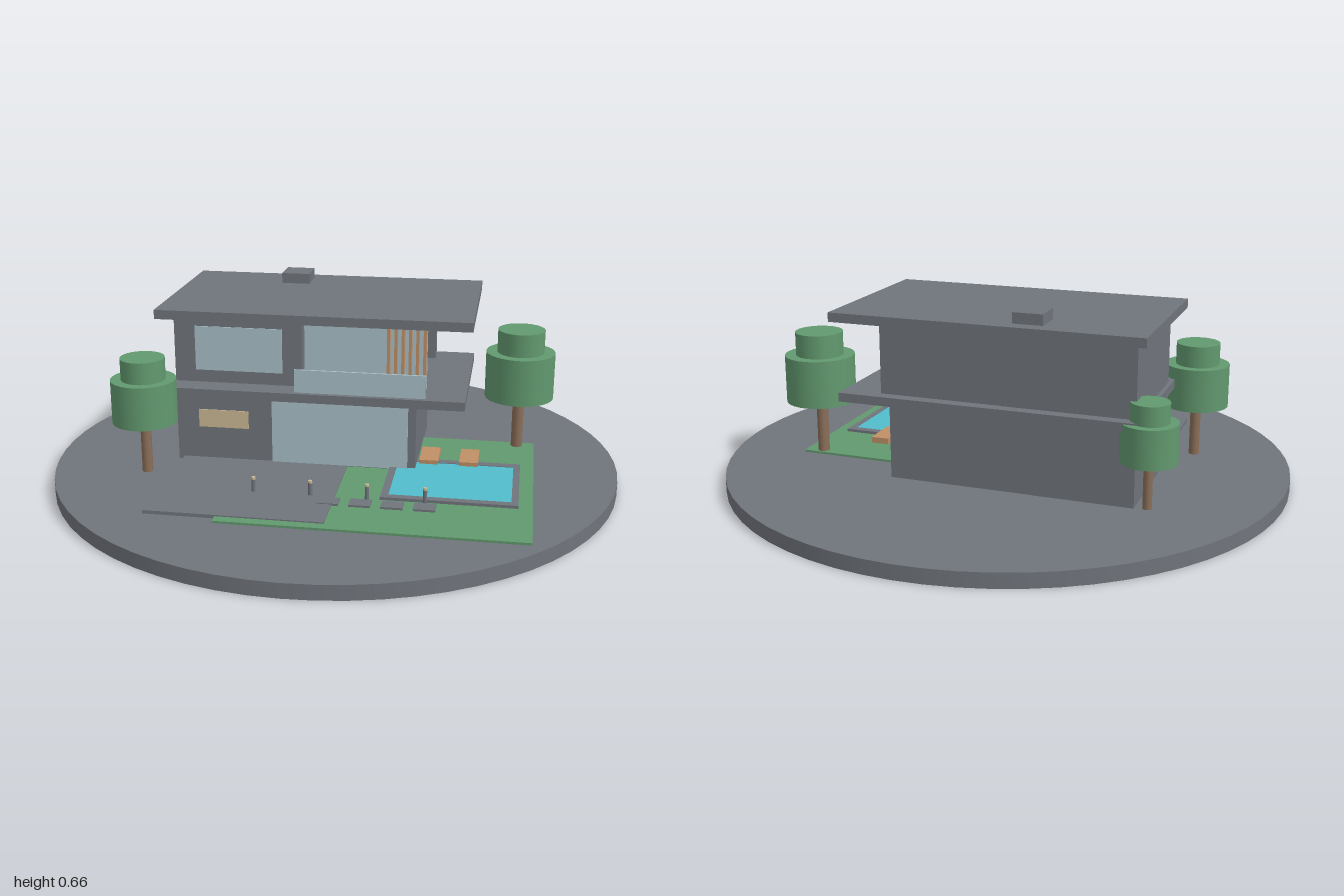
import * as THREE from 'three';

const mat = (name, color) => {
  const m = new THREE.MeshStandardMaterial({ color });
  m.name = name;
  return m;
};

export function createModel() {
  const concrete = mat('concrete', 0x70747b);
  const leaf = mat('leaf green', 0x62996f);
  const bark = mat('bark', 0x8a6e58);
  const wood = mat('warm wood', 0xbf8f66);
  const glass = mat('glass', 0xa9c0c9);
  const glow = mat('lit window', 0xcab994);
  const water = mat('pool water', 0x52bccb);

  const model = new THREE.Group();
  model.name = 'villa';

  const group = (name) => {
    const g = new THREE.Group();
    g.name = name;
    model.add(g);
    return g;
  };
  // Box given by its limits on each axis
  const box = (parent, name, m, [x0, x1], [y0, y1], [z0, z1]) => {
    const mesh = new THREE.Mesh(new THREE.BoxGeometry(x1 - x0, y1 - y0, z1 - z0), m);
    mesh.position.set((x0 + x1) / 2, (y0 + y1) / 2, (z0 + z1) / 2);
    mesh.name = name;
    parent.add(mesh);
    return mesh;
  };
  const cylinder = (parent, name, m, r, x, z, [y0, y1], sides = 32) => {
    const mesh = new THREE.Mesh(new THREE.CylinderGeometry(r, r, y1 - y0, sides), m);
    mesh.position.set(x, (y0 + y1) / 2, z);
    mesh.name = name;
    parent.add(mesh);
    return mesh;
  };

  // Round base
  cylinder(model, 'base', concrete, 1, 0, 0, [0, 0.05], 64);

  // Garden surfaces
  const garden = group('garden');
  box(garden, 'lawn', leaf, [-0.295, 0.71], [0.045, 0.058], [-0.22, 0.64]);
  box(garden, 'patio', concrete, [-0.535, 0.06], [0.045, 0.062], [0.1, 0.605]);
  for (let i = 0; i < 4; i++) {
    const x = 0.045 + i * 0.106;
    box(garden, 'steppingStone', concrete, [x - 0.036, x + 0.036], [0.05, 0.065], [0.41, 0.463]);
  }

  // Pool: four rim strips around the water
  const pool = group('pool');
  const rimY = [0.05, 0.068];
  box(pool, 'poolRimBack', concrete, [0.21, 0.663], rimY, [0.025, 0.055]);
  box(pool, 'poolRimFront', concrete, [0.21, 0.663], rimY, [0.363, 0.39]);
  box(pool, 'poolRimRight', concrete, [0.21, 0.235], rimY, [0.055, 0.363]);
  box(pool, 'poolRimLeft', concrete, [0.64, 0.663], rimY, [0.055, 0.363]);
  box(pool, 'poolWater', water, [0.235, 0.64], [0.05, 0.066], [0.055, 0.363]);

  // Sun loungers
  for (const x of [0.343, 0.483]) {
    box(garden, 'lounger', wood, [x - 0.033, x + 0.033], [0.058, 0.08], [-0.065, 0.068]);
  }

  // Path lights
  for (const x of [-0.215, -0.022, 0.168, 0.36]) {
    cylinder(garden, 'lightPost', concrete, 0.007, x, 0.395, [0.05, 0.105], 12);
    cylinder(garden, 'lightCap', glow, 0.007, x, 0.395, [0.105, 0.113], 12);
  }

  // Ground floor
  const ground = group('groundFloor');
  const depth = [-0.355, 0.118];
  box(ground, 'groundWing', concrete, [-0.555, -0.21], [0.05, 0.316], depth);
  box(ground, 'livingRoom', concrete, [-0.21, 0.3], [0.05, 0.316], [-0.353, 0.116]);
  box(ground, 'livingGlass', glass, [-0.21, 0.272], [0.062, 0.316], [0.115, 0.122]);
  box(ground, 'litWindow', glow, [-0.475, -0.295], [0.179, 0.244], [0.115, 0.122]);
  box(model, 'floorSlab', concrete, [-0.57, 0.47], [0.316, 0.347], [-0.395, 0.203]);

  // Upper floor: closed wing, and a room open on its left side
  const upper = group('upperFloor');
  box(upper, 'upperWing', concrete, [-0.555, -0.1], [0.347, 0.595], depth);
  box(upper, 'upperWindow', glass, [-0.48, -0.17], [0.392, 0.55], [0.115, 0.122]);
  box(upper, 'backWall', concrete, [-0.1, 0.33], [0.347, 0.595], [-0.353, -0.303]);
  box(upper, 'upperGlass', glass, [-0.1, 0.33], [0.347, 0.595], [0.065, 0.073]);
  box(upper, 'litInterior', glow, [-0.05, 0.3], [0.347, 0.488], [-0.23, 0.02]);

  // Wooden sun slats
  for (let i = 0; i < 6; i++) {
    const x = 0.198 + i * 0.025;
    box(upper, 'slat', wood, [x - 0.005, x + 0.005], [0.347, 0.59], [0.078, 0.1]);
  }
  box(upper, 'balconyRail', glass, [-0.115, 0.335], [0.347, 0.428], [0.178, 0.186]);

  // Roof and chimney
  box(model, 'roof', concrete, [-0.593, 0.49], [0.595, 0.627], [-0.41, 0.217]);
  box(model, 'chimney', concrete, [-0.245, -0.142], [0.627, 0.664], [-0.358, -0.253]);

  // Trees: trunk and two stacked crown tiers
  const tree = (x, z, r, y0, y1, y2) => {
    const g = group('tree');
    cylinder(g, 'trunk', bark, r * 0.165, x, z, [0.05, y0 + 0.01], 16);
    cylinder(g, 'lowerCrown', leaf, r, x, z, [y0, y1]);
    cylinder(g, 'upperCrown', leaf, r * 0.68, x, z, [y1, y2]);
  };
  tree(0.646, -0.193, 0.124, 0.25, 0.42, 0.503);
  tree(-0.632, 0.247, 0.113, 0.237, 0.39, 0.466);
  tree(-0.595, -0.338, 0.094, 0.21, 0.342, 0.408);

  return model;
}
